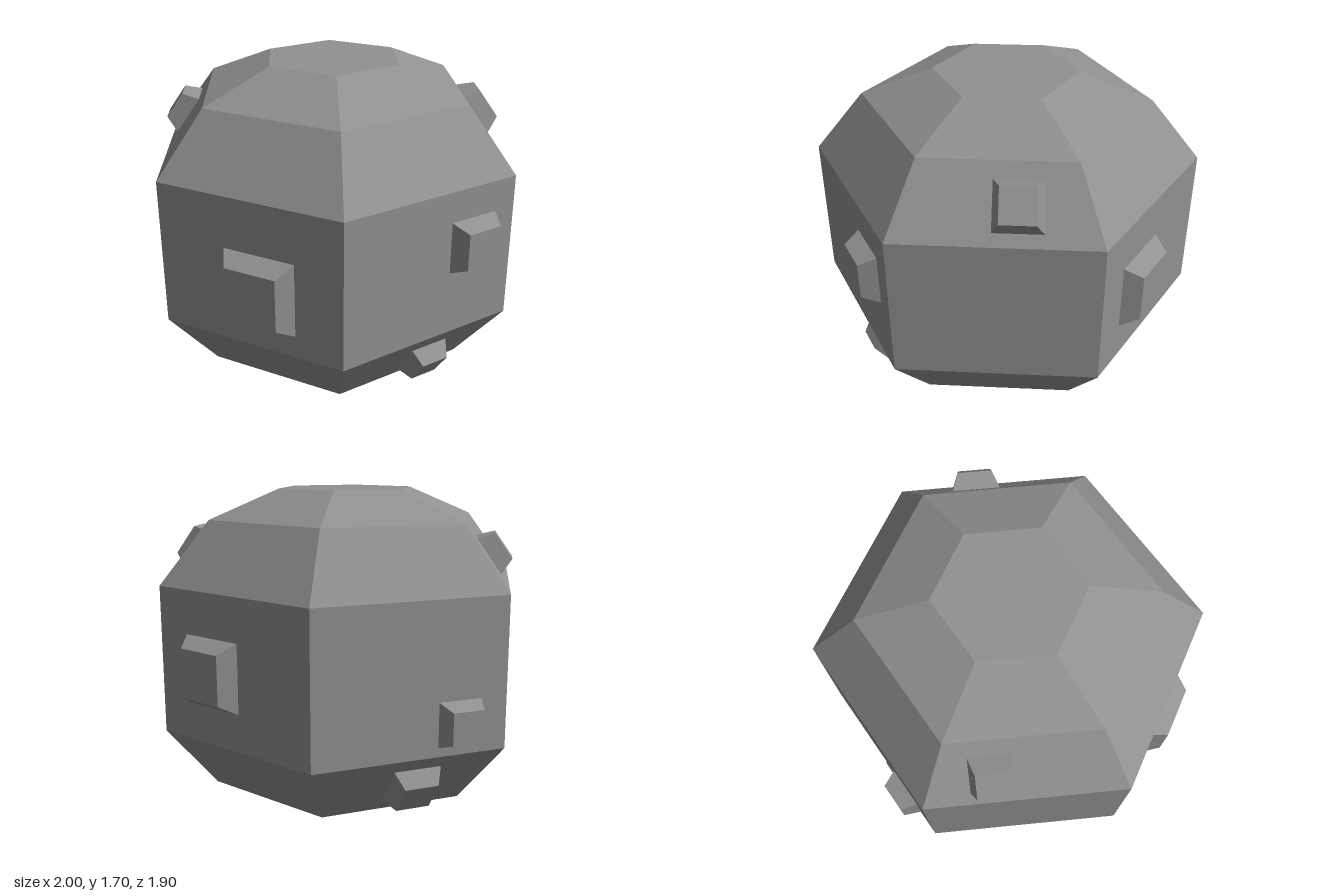
import * as THREE from 'three';

const material = new THREE.MeshStandardMaterial({ color: 0x919191, flatShading: true });

// Hexagonal body: corner radius and height of each ring, bottom to top
const RINGS = [[0, 0], [0.37, 0], [0.74, 0.15], [1, 0.47], [1, 1.23], [0.74, 1.55], [0.37, 1.7], [0, 1.7]];
const APOTHEM = Math.cos(Math.PI / 6);
const SLOPE = Math.atan2((1 - 0.74) * APOTHEM, 0.32);
const STUD_HEIGHT = 0.086;

// Distance of a side facet from the axis at height y
function facetDistance(y) {
  const overshoot = Math.max(0, y - 1.23, 0.47 - y);
  return APOTHEM - overshoot * Math.tan(SLOPE);
}

function createBody() {
  const points = RINGS.map(([r, y]) => new THREE.Vector2(r, y));
  const geometry = new THREE.LatheGeometry(points, 6, Math.PI / 2).toNonIndexed();
  geometry.computeVertexNormals();
  const body = new THREE.Mesh(geometry, material);
  body.name = 'body';
  return body;
}

// Square tapered stud, lying on the facet that faces the given direction
function createStud({ name, facing, along, y, half }) {
  const corner = half * Math.SQRT2;
  const geometry = new THREE.CylinderGeometry(corner * 0.715, corner, STUD_HEIGHT, 4)
    .rotateY(Math.PI / 4)
    .rotateX(Math.PI / 2)
    .translate(0, 0, STUD_HEIGHT / 2)
    .toNonIndexed();
  geometry.computeVertexNormals();
  const stud = new THREE.Mesh(geometry, material);
  stud.position.set(along, y, facetDistance(y));
  if (y > 1.23) stud.rotation.x = -SLOPE;
  if (y < 0.47) stud.rotation.x = SLOPE;

  const pivot = new THREE.Group();
  pivot.name = name;
  pivot.rotation.y = THREE.MathUtils.degToRad(facing);
  pivot.add(stud);
  return pivot;
}

// facing: degrees around y from the front; along: sideways offset on the facet
const STUDS = [
  { name: 'frontStud', facing: 0, along: 0.058, y: 0.775, half: 0.19 },
  { name: 'backStud', facing: 180, along: -0.13, y: 0.835, half: 0.174 },
  { name: 'leftFrontStud', facing: 60, along: 0.247, y: 0.938, half: 0.133 },
  { name: 'rightBackStud', facing: 240, along: 0.25, y: 0.628, half: 0.112 },
  { name: 'upperLeftBackStud', facing: 120, along: 0.102, y: 1.382, half: 0.12 },
  { name: 'upperRightFrontStud', facing: 300, along: -0.158, y: 1.38, half: 0.107 },
  { name: 'lowerLeftFrontStud', facing: 60, along: 0.062, y: 0.296, half: 0.106 },
  { name: 'lowerRightBackStud', facing: 240, along: 0.055, y: 0.305, half: 0.122 },
];

export function createModel() {
  const model = new THREE.Group();
  model.name = 'studdedBoulder';
  model.add(createBody(), ...STUDS.map(createStud));
  return model;
}
